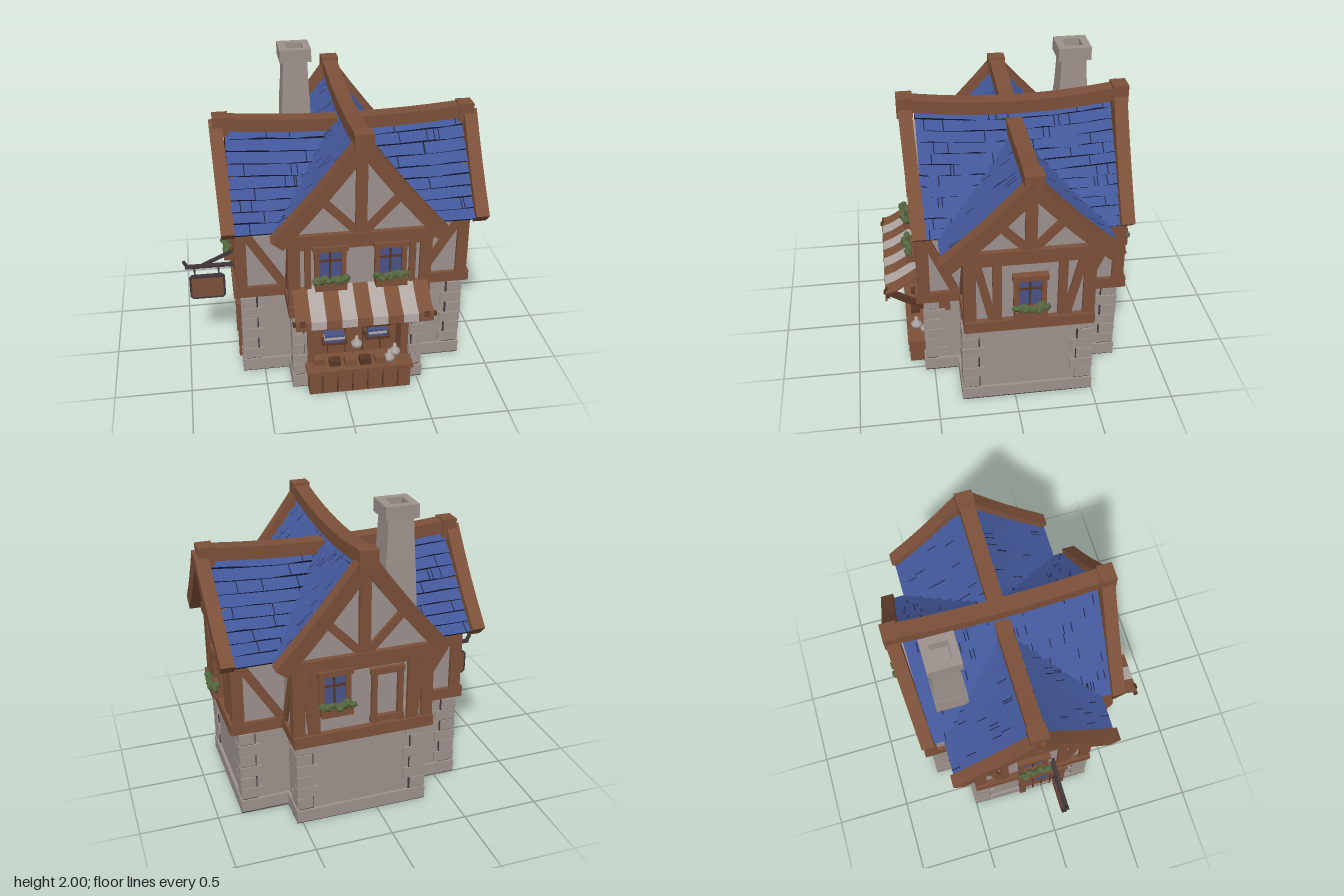
import * as THREE from 'three';

const mat = (name, color, side = THREE.FrontSide) => {
  const m = new THREE.MeshStandardMaterial({ color, side });
  m.name = name;
  return m;
};
const M = {
  wood: mat('wood', 0x7c5039), dark: mat('darkWood', 0x573625), plaster: mat('plaster', 0x9c908d),
  stone: mat('stone', 0x9d918c), roof: mat('roofTile', 0x425799, THREE.DoubleSide),
  line: mat('tileShadow', 0x1d2440, THREE.DoubleSide), leaf: mat('leaf', 0x55663f),
  cloth: mat('paleCloth', 0xb0a6a2), metal: mat('darkMetal', 0x40373b), glass: mat('glass', 0x4a5285),
};

let seed = 7;
const rnd = () => (seed = (seed * 16807) % 2147483647) / 2147483647;

function add(parent, name, geo, material, x = 0, y = 0, z = 0) {
  const m = new THREE.Mesh(geo, material);
  m.name = name;
  m.position.set(x, y, z);
  parent.add(m);
  return m;
}
const box = (p, name, m, w, h, d, x, y, z) => add(p, name, new THREE.BoxGeometry(w, h, d), m, x, y, z);
// Timber between two points in a wall plane
function strut(p, name, m, x1, y1, x2, y2, width, z, depth = 0.03) {
  const b = box(p, name, m, Math.hypot(x2 - x1, y2 - y1), width, depth, (x1 + x2) / 2, (y1 + y2) / 2, z);
  b.rotation.z = Math.atan2(y2 - y1, x2 - x1);
  return b;
}
function group(parent, name, x = 0, y = 0, z = 0, ry = 0) {
  const g = new THREE.Group();
  g.name = name;
  g.position.set(x, y, z);
  g.rotation.y = ry;
  parent.add(g);
  return g;
}
const polygon = pts => new THREE.Shape(pts.map(p => new THREE.Vector2(...p)));

// hw: wall half width, L: wall half length, r0/r1: ridge height at middle and ends
const MAIN = { hw: 0.43, L: 0.64, ghw: 0.415, gL: 0.62, r0: 1.7, r1: 1.76, tile: 0.61, ridge: 0.715, apex: 1.66, n: 12 };
const CROSS = { hw: 0.38, L: 0.745, ghw: 0.4, gL: 0.725, r0: 1.59, r1: 1.635, tile: 0.775, ridge: 0.845, apex: 1.55, n: 9 };
const EAVE = 0.52, EAVE_Y = 1.11;
const ridgeY = (c, w) => c.r0 + (c.r1 - c.r0) * (w / c.ridge) ** 2;

// Point on the roof slope: t from eave to ridge, w along the ridge, lifted off the surface
function slope(c, s, t, w, lift) {
  const h = ridgeY(c, w) - EAVE_Y, l = Math.hypot(h, EAVE);
  return [s * (EAVE * (1 - t) + lift * h / l), EAVE_Y + h * t - 0.02 * Math.sin(Math.PI * t) + lift * EAVE / l, w];
}
function ribbon(out, A, B) {
  for (let j = 0; j < A.length - 1; j++) out.push(...A[j], ...A[j + 1], ...B[j + 1], ...A[j], ...B[j + 1], ...B[j]);
}
function mesh(parent, name, pos, material) {
  const g = new THREE.BufferGeometry();
  g.setAttribute('position', new THREE.Float32BufferAttribute(pos, 3));
  g.computeVertexNormals();
  return add(parent, name, g, material);
}

function buildRoof(p, c) {
  const tiles = [], lines = [], soffit = [], N = 14;
  for (const s of [-1, 1]) {
    const row = (t, lift, jit = 0) => Array.from({ length: N + 1 }, (_, j) =>
      slope(c, s, t + (rnd() - 0.5) * jit, -s * c.tile * (-1 + 2 * j / N), lift));
    for (let i = 0; i < c.n; i++) {
      const t0 = i / c.n, t1 = (i + 1) / c.n;
      const edge = row(t0, 0.016, i ? 0.016 : 0);
      ribbon(tiles, edge, row(t1, 0));
      ribbon(lines, row(t0, -0.006), edge);
      // Upright joints between shingles
      for (let k = 0; k < 5; k++) {
        const w = (rnd() * 2 - 1) * c.tile * 0.95, d = -s * 0.003;
        ribbon(lines, [slope(c, s, t0, w - d, 0.019), slope(c, s, t0, w + d, 0.019)],
          [slope(c, s, t1, w - d, 0.004), slope(c, s, t1, w + d, 0.004)]);
      }
    }
    ribbon(soffit, row(1, -0.02), row(0, -0.02));
  }
  mesh(p, 'roofTiles', tiles, M.roof);
  mesh(p, 'tileEdges', lines, M.line);
  mesh(p, 'soffit', soffit, M.dark);
  // Sagging ridge beam with heavier ends
  const g = new THREE.BoxGeometry(0.1, 0.085, c.ridge * 2, 1, 1, 12), a = g.attributes.position;
  for (let i = 0; i < a.count; i++) a.setY(i, a.getY(i) + ridgeY(c, a.getZ(i)) + 0.027);
  g.computeVertexNormals();
  add(p, 'ridgeBeam', g, M.wood);
}

// Walls and floor beams for one arm of the cross plan
function buildArm(p, c) {
  const wall = polygon([[-c.hw, 0.6], [c.hw, 0.6], [c.hw, 1.15], [0, c.apex], [-c.hw, 1.15]]);
  add(p, 'upperWall', new THREE.ExtrudeGeometry(wall, { depth: c.L * 2, bevelEnabled: false }), M.plaster, 0, 0, -c.L);
  box(p, 'sillBeam', M.wood, c.hw * 2 + 0.05, 0.075, c.L * 2 + 0.08, 0, 0.618, 0);
  box(p, 'wallPlate', M.wood, c.hw * 2 + 0.03, 0.055, c.L * 2 + 0.03, 0, 1.08, 0);
  buildRoof(p, c);
}

function buildGable(p, c, isFront) {
  const z = c.L + 0.01;
  for (const s of [-1, 1]) {
    // Curved barge board, leaning out toward the ridge
    const ts = [0, 0.25, 0.5, 0.75, 1];
    const top = ts.map(t => slope(c, s, t, c.ridge, 0.045).slice(0, 2));
    const low = ts.map(t => slope(c, s, t, c.ridge, -0.05).slice(0, 2)).reverse();
    const g = new THREE.ExtrudeGeometry(polygon([...top, ...low]), { depth: 0.085, bevelEnabled: false });
    const a = g.attributes.position;
    for (let i = 0; i < a.count; i++) a.setZ(i, a.getZ(i) + (a.getY(i) - 1.1) * 0.05);
    g.computeVertexNormals();
    add(p, 'bargeBoard', g, M.wood, 0, 0, c.tile - 0.015);
    box(p, 'cornerPost', M.wood, 0.075, 0.46, 0.075, s * (c.hw - 0.015), 0.87, c.L - 0.015);
    strut(p, 'gableBrace', M.wood, s * 0.03, 1.17, s * 0.23, 1.38, 0.05, z);
    if (!isFront) {
      box(p, 'innerPost', M.wood, 0.055, 0.44, 0.03, s * 0.2 * (c === MAIN ? 1.55 : 1), 0.86, z);
      strut(p, 'wallBrace', M.wood, s * (c.hw - 0.06), 1.06, s * (c === MAIN ? 0.33 : 0.23), 0.66, 0.05, z - 0.002);
    } else box(p, 'innerPost', M.wood, 0.04, 0.44, 0.03, s * 0.33, 0.86, z);
    // Braces on the return walls beside each corner
    const inner = c === MAIN ? CROSS.hw + 0.05 : MAIN.hw + 0.03;
    const side = group(p, 'returnWall', s * c.hw, 0, 0, s * Math.PI / 2);
    strut(side, 'returnBrace', M.wood, -s * (c.L - 0.04), 1.06, -s * inner, 0.66, 0.055, 0.005);
    // Quoins over a dark joint core
    const wide = isFront ? 0.085 : 0.14, slim = isFront ? 0.07 : 0.1;
    box(p, 'quoinJoint', M.metal, slim, 0.57, slim, s * (c.ghw - slim / 2 + 0.006), 0.29, c.gL - slim / 2 + 0.006);
    for (let i = 0; i < 6; i++) {
      const w = (i % 2 ? wide : slim) + rnd() * 0.008, d = i % 2 ? 0.1 : 0.14, o = 0.012 + rnd() * 0.006;
      box(p, 'quoin', M.stone, w, 0.074, d, s * (c.ghw - w / 2 + o), 0.136 + i * 0.081, c.gL - d / 2 + o);
    }
  }
  box(p, 'ridgeEnd', M.wood, 0.115, 0.13, 0.1, 0, c.r1 + 0.005, c.ridge - 0.045);
  box(p, 'kingPost', M.wood, 0.07, c.apex - 1.1, 0.035, 0, (c.apex + 1.13) / 2, z);
  box(p, 'tieBeam', M.wood, c.hw * 2 + 0.06, 0.075, 0.05, 0, 1.125, z);
}

// Framed window with planter; y is the bottom of the planter
function buildWindow(p, x, y, z) {
  const g = group(p, 'window', x, y, z);
  box(g, 'pane', M.glass, 0.15, 0.22, 0.008, 0, 0.16, 0.006);
  for (const s of [-1, 1]) box(g, 'jamb', M.wood, 0.03, 0.24, 0.04, s * 0.085, 0.16, 0.015);
  box(g, 'lintel', M.wood, 0.22, 0.035, 0.055, 0, 0.275, 0.02);
  box(g, 'mullion', M.dark, 0.012, 0.22, 0.02, 0, 0.16, 0.01);
  box(g, 'glazingBar', M.dark, 0.15, 0.012, 0.02, 0, 0.18, 0.01);
  box(g, 'planter', M.wood, 0.2, 0.055, 0.075, 0, 0.028, 0.045);
  for (let i = 0; i < 8; i++) {
    const l = add(g, 'foliage', new THREE.IcosahedronGeometry(0.032, 0), M.leaf,
      -0.09 + i * 0.026, 0.062 + rnd() * 0.018, 0.05 + rnd() * 0.035);
    l.scale.set(1, 0.7, 1);
    l.rotation.set(rnd() * 3, rnd() * 3, 0);
  }
}

function buildShop(p) {
  const g = group(p, 'shopFront', 0.1, 0, 0);
  box(g, 'backPanel', M.wood, 0.66, 0.5, 0.01, 0, 0.25, 0.386);
  box(g, 'lintelBeam', M.wood, 0.83, 0.1, 0.17, 0, 0.53, 0.465);
  box(g, 'canopyBeam', M.wood, 0.76, 0.06, 0.06, 0, 0.52, 0.57);
  for (const s of [-1, 1]) {
    box(g, 'pier', M.stone, 0.085, 0.58, 0.17, s * 0.372, 0.29, 0.455);
    box(g, 'doorPost', M.wood, 0.05, 0.48, 0.16, s * 0.31, 0.24, 0.47);
    const b = group(g, 'awningBrace', s * 0.39, 0, 0, -Math.PI / 2);
    strut(b, 'braceBar', M.dark, 0.55, 0.51, 0.79, 0.66, 0.035, 0, 0.035);
  }
  for (let i = 0; i < 4; i++) box(g, 'panelGroove', M.dark, 0.008, 0.46, 0.008, -0.18 + i * 0.12, 0.24, 0.39);
  box(g, 'counterBody', M.wood, 0.67, 0.155, 0.1, 0, 0.078, 0.605);
  box(g, 'counterTop', M.wood, 0.7, 0.028, 0.19, 0, 0.168, 0.57);
  for (let i = 0; i < 6; i++) box(g, 'counterGroove', M.dark, 0.008, 0.14, 0.006, -0.25 + i * 0.1, 0.08, 0.656);
  // Shelves with books
  for (const [x, y] of [[-0.14, 0.25], [0.15, 0.37], [0.15, 0.27]]) {
    box(g, 'shelf', M.dark, 0.17, 0.014, 0.08, x, y, 0.43);
    for (let i = 0; i < 3; i++) box(g, 'book', i % 2 ? M.cloth : M.glass, 0.12 + rnd() * 0.02, 0.018, 0.06, x, y + 0.017 + i * 0.02, 0.43);
  }
  // Goods on the counter
  for (let i = 0; i < 5; i++) box(g, 'crate', i % 2 ? M.dark : M.wood, 0.075, 0.035 + rnd() * 0.03, 0.06, -0.26 + i * 0.1, 0.2, 0.56 + rnd() * 0.05);
  const flask = [[0, 0], [0.033, 0.006], [0.038, 0.035], [0.012, 0.06], [0.012, 0.085], [0, 0.085]].map(q => new THREE.Vector2(...q));
  for (const [x, y, z] of [[0, 0.24, 0.5], [0.2, 0.182, 0.6], [0.25, 0.182, 0.54]])
    add(g, 'flask', new THREE.LatheGeometry(flask, 10), M.cloth, x, y, z);
  // Striped awning with hanging valance
  const line = [[0.57, 0.79], [0.64, 0.74], [0.72, 0.69], [0.785, 0.665], [0.79, 0.61]];
  const prof = polygon([...line.map(([z, y]) => [-z, y]), ...line.map(([z, y]) => [-z + 0.01, y - 0.008]).reverse()]);
  const sw = 0.865 / 9;
  for (let i = 0; i < 9; i++) {
    const geo = new THREE.ExtrudeGeometry(prof, { depth: sw, bevelEnabled: false });
    add(g, 'awningStripe', geo, i % 2 ? M.cloth : M.wood, -0.4325 + i * sw).rotation.y = Math.PI / 2;
  }
  box(g, 'awningPole', M.dark, 0.9, 0.025, 0.025, 0, 0.652, 0.772);
}

function buildChimney(p) {
  const g = group(p, 'chimney', -0.175, 0, -0.5);
  for (const [y0, y1, b, t] of [[1.1, 1.45, 0.108, 0.104], [1.45, 1.66, 0.1, 0.094], [1.66, 1.92, 0.092, 0.08]]) {
    const geo = new THREE.CylinderGeometry(t * Math.SQRT2, b * Math.SQRT2, y1 - y0, 4).toNonIndexed();
    geo.computeVertexNormals();
    add(g, 'shaft', geo, M.stone, 0, (y0 + y1) / 2).rotation.y = Math.PI / 4;
  }
  const sq = r => [[-r, -r], [r, -r], [r, r], [-r, r]];
  const cap = polygon(sq(0.105));
  cap.holes.push(polygon(sq(0.056)));
  add(g, 'cap', new THREE.ExtrudeGeometry(cap, { depth: 0.085, bevelEnabled: false }), M.stone, 0, 1.915).rotation.x = -Math.PI / 2;
}

function buildSign(p) {
  const g = group(p, 'hangingSign', 0, 0, 0.06);
  box(g, 'signPole', M.metal, 0.34, 0.022, 0.025, -0.82, 0.685, 0);
  strut(g, 'poleStay', M.metal, -0.88, 0.69, -0.66, 0.79, 0.02, 0, 0.02);
  strut(g, 'poleHook', M.metal, -0.975, 0.685, -1, 0.73, 0.018, 0, 0.02);
  for (const x of [-0.93, -0.77]) box(g, 'hanger', M.metal, 0.012, 0.08, 0.012, x, 0.645, 0);
  const r = 0.12, h = 0.088;
  const plate = polygon([[-r + 0.02, -h], [r - 0.02, -h], [r, -h + 0.02], [r, h - 0.02], [r - 0.02, h], [-r + 0.02, h], [-r, h - 0.02], [-r, -h + 0.02]]);
  add(g, 'signRim', new THREE.ExtrudeGeometry(plate, { depth: 0.03, bevelEnabled: false }), M.metal, -0.85, 0.525, -0.015);
  box(g, 'signBoard', M.wood, 0.21, 0.145, 0.038, -0.85, 0.525, 0);
}

export function createModel() {
  const root = new THREE.Group();
  root.name = 'timberShop';
  const at = (name, ry) => group(root, name, 0.1, 0, -0.08, ry);

  // Stone ground floor, plinth and dark underside
  const ground = at('groundFloor', 0);
  box(ground, 'mainStone', M.stone, 0.83, 0.58, 1.08, 0, 0.292, -0.08);
  box(ground, 'crossStone', M.stone, 1.45, 0.58, 0.8, 0, 0.292, 0);
  box(ground, 'mainPlinth', M.stone, 0.87, 0.085, 1.1, 0, 0.046, -0.09);
  box(ground, 'crossPlinth', M.stone, 1.49, 0.085, 0.84, 0, 0.046, 0);
  for (const s of [-1, 1]) box(ground, 'pierPlinth', M.stone, 0.1, 0.085, 0.2, s * 0.385, 0.046, 0.54);
  box(ground, 'mainBase', M.metal, 0.87, 0.006, 1.28, 0, 0.003, 0);
  box(ground, 'crossBase', M.metal, 1.49, 0.006, 0.84, 0, 0.003, 0);

  buildArm(at('mainArm', 0), MAIN);
  buildArm(at('crossArm', Math.PI / 2), CROSS);

  const front = at('frontGable', 0), back = at('backGable', Math.PI);
  const left = at('leftGable', Math.PI / 2), right = at('rightGable', -Math.PI / 2);
  buildGable(front, MAIN, true);
  buildGable(back, MAIN, false);
  buildGable(left, CROSS, false);
  buildGable(right, CROSS, false);
  for (const s of [-1, 1]) buildWindow(front, s * 0.19, 0.79, MAIN.L);
  buildWindow(back, -0.19, 0.79, MAIN.L);
  buildWindow(left, 0, 0.69, CROSS.L);
  buildWindow(right, 0, 0.69, CROSS.L);

  // Blind window on the back wall
  for (const s of [-1, 1]) box(back, 'blindJamb', M.wood, 0.035, 0.36, 0.03, 0.15 + s * 0.085, 0.84, MAIN.L + 0.012);
  for (const y of [0.69, 1.02]) box(back, 'blindRail', M.wood, 0.22, 0.04, 0.035, 0.15, y, MAIN.L + 0.012);

  // Side door
  const door = group(right, 'sideDoor', 0.08, 0, CROSS.gL);
  box(door, 'doorLeaf', M.wood, 0.26, 0.38, 0.02, 0, 0.19, 0.01);
  for (const s of [-1, 1]) box(door, 'doorJamb', M.wood, 0.045, 0.4, 0.045, s * 0.145, 0.2, 0.015);
  box(door, 'doorHead', M.wood, 0.36, 0.05, 0.055, 0, 0.415, 0.015);
  for (const x of [-0.065, 0, 0.065]) box(door, 'doorGroove', M.dark, 0.008, 0.37, 0.006, x, 0.19, 0.021);
  box(door, 'doorPane', M.glass, 0.09, 0.09, 0.008, 0, 0.28, 0.024);

  buildShop(root);
  buildChimney(root);
  buildSign(root);
  return root;
}
